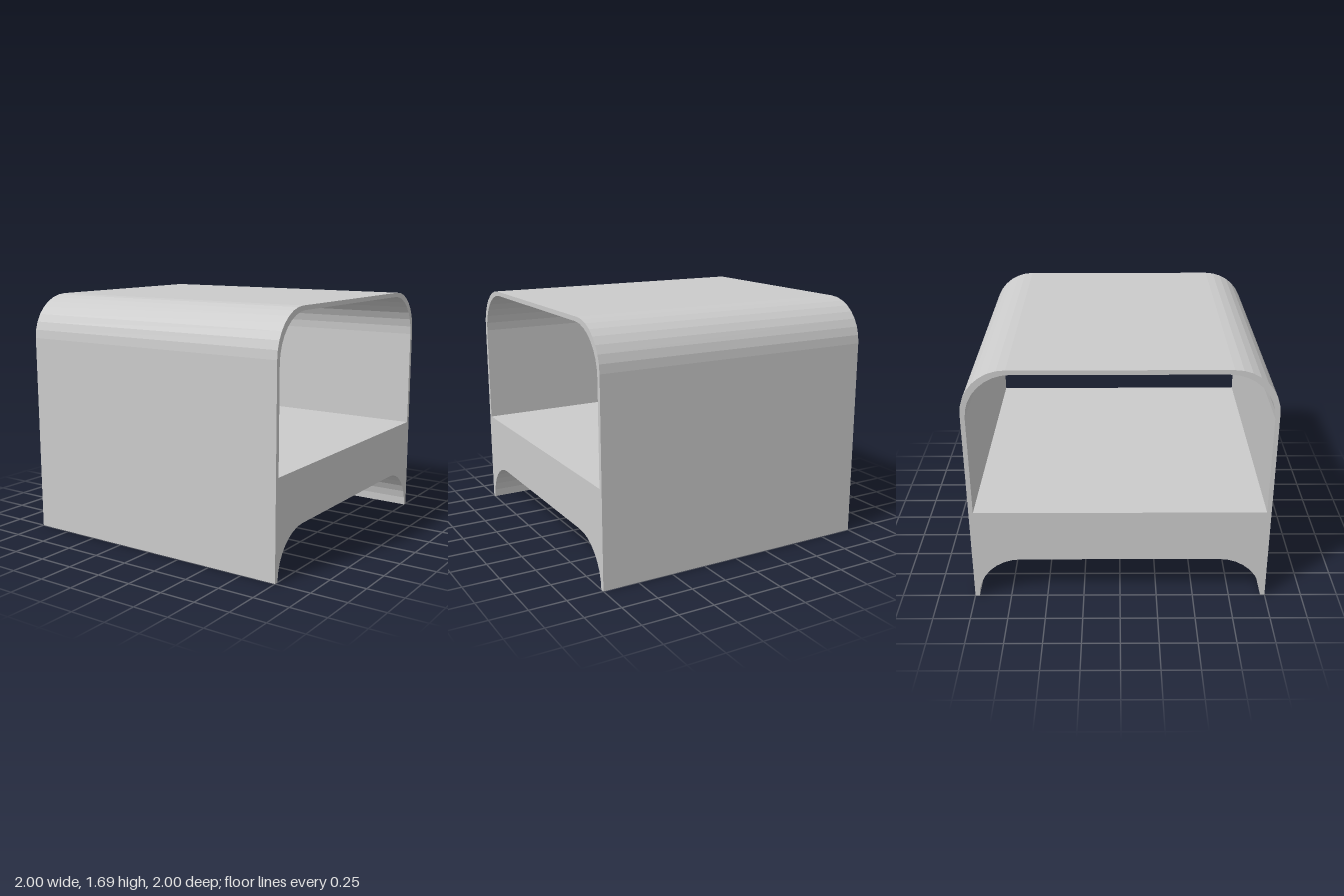
import * as THREE from 'three';

const WIDTH = 2, HEIGHT = 1.69, WALL = 0.03, RADIUS = 0.3;
const SHELF_TOP = 0.67, SHELF_BOTTOM = 0.3;

// Path up one side, over two rounded corners and down the other side
function arch(path, half, bottom, top) {
  path.moveTo(half, bottom);
  path.lineTo(half, top - RADIUS);
  path.absarc(half - RADIUS, top - RADIUS, RADIUS, 0, Math.PI / 2, false);
  path.lineTo(RADIUS - half, top);
  path.absarc(RADIUS - half, top - RADIUS, RADIUS, Math.PI / 2, Math.PI, false);
  path.lineTo(-half, bottom);
  return path;
}

export function createModel() {
  const group = new THREE.Group();
  group.name = 'bedsideTable';
  const inner = 1 - WALL;

  // Outer hood, with the underside arch cut between the feet
  const profile = arch(new THREE.Shape(), 1, 0, HEIGHT);
  profile.lineTo(-inner, 0);
  profile.absarc(RADIUS - inner, 0, RADIUS, Math.PI, Math.PI / 2, true);
  profile.lineTo(inner - RADIUS, SHELF_BOTTOM);
  profile.absarc(inner - RADIUS, 0, RADIUS, Math.PI / 2, 0, true);
  profile.closePath();

  // Open compartment above the thick shelf
  const opening = arch(new THREE.Path(), inner, SHELF_TOP, HEIGHT - WALL);
  opening.closePath();
  profile.holes.push(opening);

  // Faceted corners: eight flat strips per quarter turn
  const geometry = new THREE.ExtrudeGeometry(profile, {
    depth: WIDTH, bevelEnabled: false, curveSegments: 4,
  });
  geometry.translate(0, 0, -WIDTH / 2);
  geometry.rotateY(Math.PI / 2);

  const body = new THREE.Mesh(geometry, new THREE.MeshStandardMaterial({ color: 0xcccccc, flatShading: true }));
  body.name = 'hoodAndShelf';
  group.add(body);
  return group;
}
